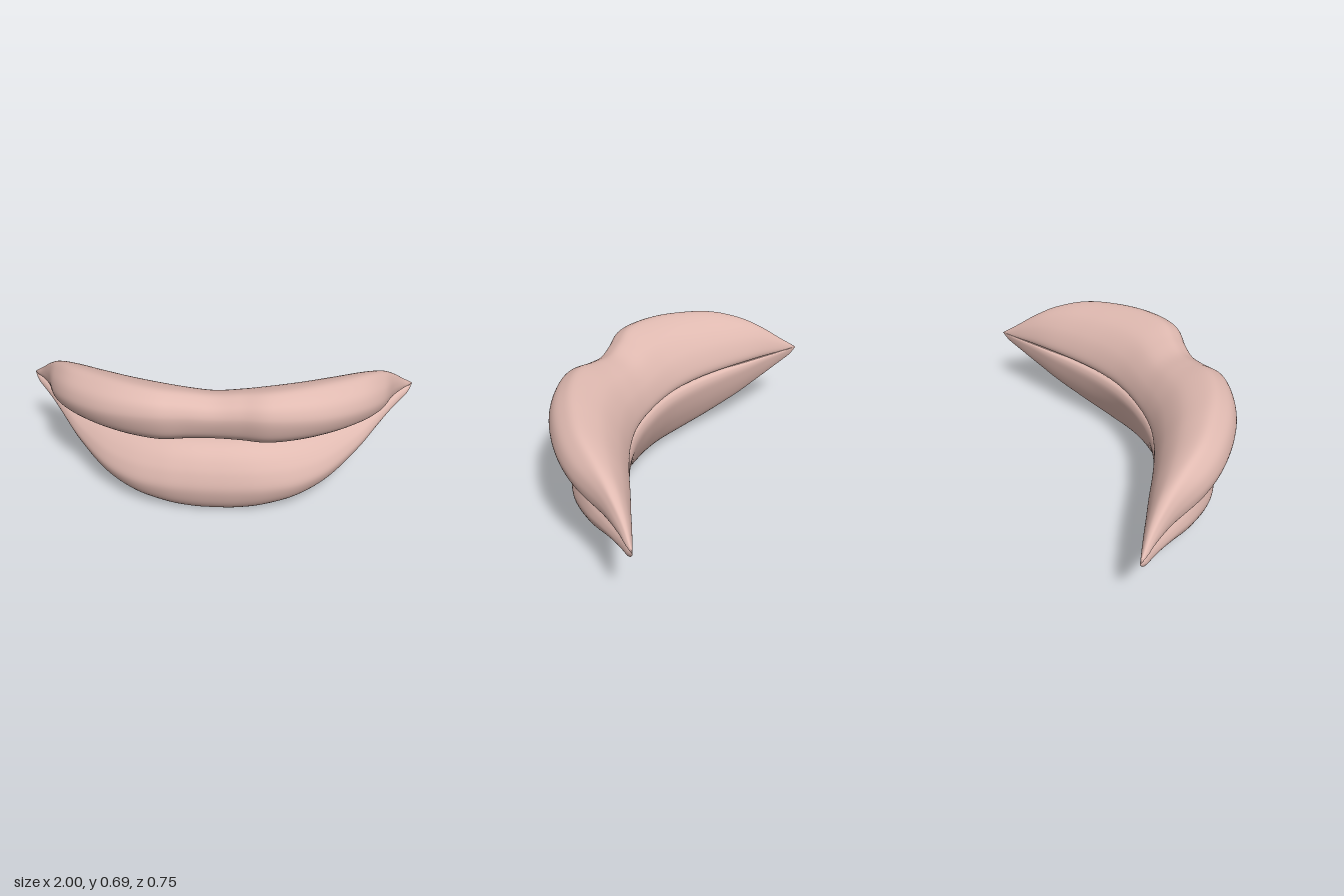
import * as THREE from 'three';

const SEAM = 0.383; // height of the line where the lips meet

// Stations along half the mouth, from the middle to the corner
const X = [0, 0.12, 0.25, 0.4, 0.55, 0.7, 0.8, 0.87, 0.93, 0.975, 1];
const BACK = [0.03, 0.024, 0.0, -0.052, -0.125, -0.21, -0.265, -0.305, -0.338, -0.362, -0.376];

// Sections run from the seam up the back, over the crest and down the front.
// Each point: [back-to-crest, crest-to-front, seam-to-edge] fractions.
const UPPER = {
  edge: [0.645, 0.66, 0.682, 0.683, 0.669, 0.64, 0.59, 0.525, 0.455, 0.41, 0.383],
  crest: [0.23, 0.24, 0.255, 0.21, 0.125, 0.01, -0.11, -0.21, -0.295, -0.345, -0.376],
  front: [0.34, 0.351, 0.374, 0.345, 0.275, 0.155, 0.02, -0.155, -0.265, -0.33, -0.376],
  middle: [[0.13, 0, 0], [0.03, 0, 0.05], [0, 0, 0.14], [0.05, 0, 0.32], [0.2, 0, 0.57],
    [0.52, 0, 0.85], [1, 0, 1], [1, 0.56, 0.955], [1, 0.88, 0.85], [1, 1, 0.69],
    [1, 0.83, 0.39], [1, 0.52, 0.22], [1, 0.13, 0.12], [0.87, 0, 0.055], [0.7, 0, 0.023],
    [0.5, 0, 0.004], [0.13, 0, 0]],
  side: [[0.13, 0, 0], [0.03, 0, 0.05], [0, 0, 0.14], [0.05, 0, 0.32], [0.2, 0, 0.56],
    [0.52, 0, 0.83], [1, 0, 1], [1, 0.52, 0.93], [1, 0.87, 0.78], [1, 1, 0.58],
    [1, 0.86, 0.36], [1, 0.56, 0.21], [1, 0.15, 0.11], [0.83, 0, 0.05], [0.6, 0, 0.018],
    [0.4, 0, 0.004], [0.13, 0, 0]],
};
const LOWER = {
  edge: [0, 0.002, 0.01, 0.03, 0.08, 0.165, 0.235, 0.28, 0.313, 0.342, 0.383],
  crest: [0.22, 0.215, 0.185, 0.115, 0.01, -0.125, -0.215, -0.272, -0.315, -0.35, -0.376],
  front: [0.33, 0.327, 0.312, 0.265, 0.17, 0.015, -0.115, -0.21, -0.285, -0.335, -0.376],
  middle: [[0.2, 0, 0], [0.05, 0, 0.04], [0, 0, 0.13], [0.06, 0, 0.3], [0.24, 0, 0.56],
    [0.57, 0, 0.86], [1, 0, 1], [1, 0.59, 0.9], [1, 0.88, 0.74], [1, 1, 0.56],
    [1, 0.88, 0.375], [1, 0.68, 0.245], [1, 0.41, 0.14], [1, 0, 0.06], [0.76, 0, 0.028],
    [0.5, 0, 0.004], [0.2, 0, 0]],
  side: [[0.2, 0, 0], [0.05, 0, 0.04], [0, 0, 0.13], [0.06, 0, 0.3], [0.25, 0, 0.57],
    [0.6, 0, 0.87], [1, 0, 1], [1, 0.55, 0.93], [1, 0.88, 0.81], [1, 1, 0.66],
    [1, 0.88, 0.48], [1, 0.66, 0.34], [1, 0.36, 0.22], [1, 0, 0.13], [0.74, 0, 0.06],
    [0.48, 0, 0.015], [0.2, 0, 0]],
};

// Smooth curve of a value across the whole mouth, mirrored about the middle
function across(values) {
  const half = X.map((x, i) => new THREE.Vector2(x, values[i]));
  const mirrored = half.slice(1).reverse().map((p) => new THREE.Vector2(-p.x, p.y));
  return new THREE.SplineCurve([...mirrored, ...half]);
}

function ringPoints(section, count) {
  return new THREE.CatmullRomCurve3(section.map((p) => new THREE.Vector3(...p))).getPoints(count);
}

// Loft the lip's section from corner to corner, easing from middle to side shape
function lipGeometry(lip, flip) {
  const COLS = 140, RING = 80;
  const back = across(BACK), crest = across(lip.crest);
  const front = across(lip.front), edge = across(lip.edge);
  const middle = ringPoints(lip.middle, RING), side = ringPoints(lip.side, RING);
  const p = new THREE.Vector3();
  const positions = [], index = [];
  for (let i = 0; i <= COLS; i++) {
    const t = i / COLS;
    const { x, y: b } = back.getPoint(t);
    const c = crest.getPoint(t).y, f = front.getPoint(t).y, e = edge.getPoint(t).y;
    const blend = THREE.MathUtils.smoothstep(Math.abs(x), 0.1, 0.8);
    for (let j = 0; j <= RING; j++) {
      p.lerpVectors(middle[j], side[j], blend);
      positions.push(x, SEAM + p.z * (e - SEAM), b + p.x * (c - b) + p.y * (f - c));
    }
  }
  for (let i = 0; i < COLS; i++) {
    for (let j = 0; j < RING; j++) {
      const a = i * (RING + 1) + j, d = a + RING + 1;
      if (flip) index.push(a, d, a + 1, a + 1, d, d + 1);
      else index.push(a, a + 1, d, a + 1, d + 1, d);
    }
  }
  const geometry = new THREE.BufferGeometry();
  geometry.setAttribute('position', new THREE.Float32BufferAttribute(positions, 3));
  geometry.setIndex(index);
  geometry.computeVertexNormals();
  return geometry;
}

export function createModel() {
  const group = new THREE.Group();
  group.name = 'lips';
  const pink = new THREE.MeshStandardMaterial({ color: 0xe0bab1 });
  pink.name = 'lipPink';

  const upper = new THREE.Mesh(lipGeometry(UPPER, false), pink);
  upper.name = 'upperLip';
  const lower = new THREE.Mesh(lipGeometry(LOWER, true), pink);
  lower.name = 'lowerLip';
  group.add(upper, lower);
  return group;
}
